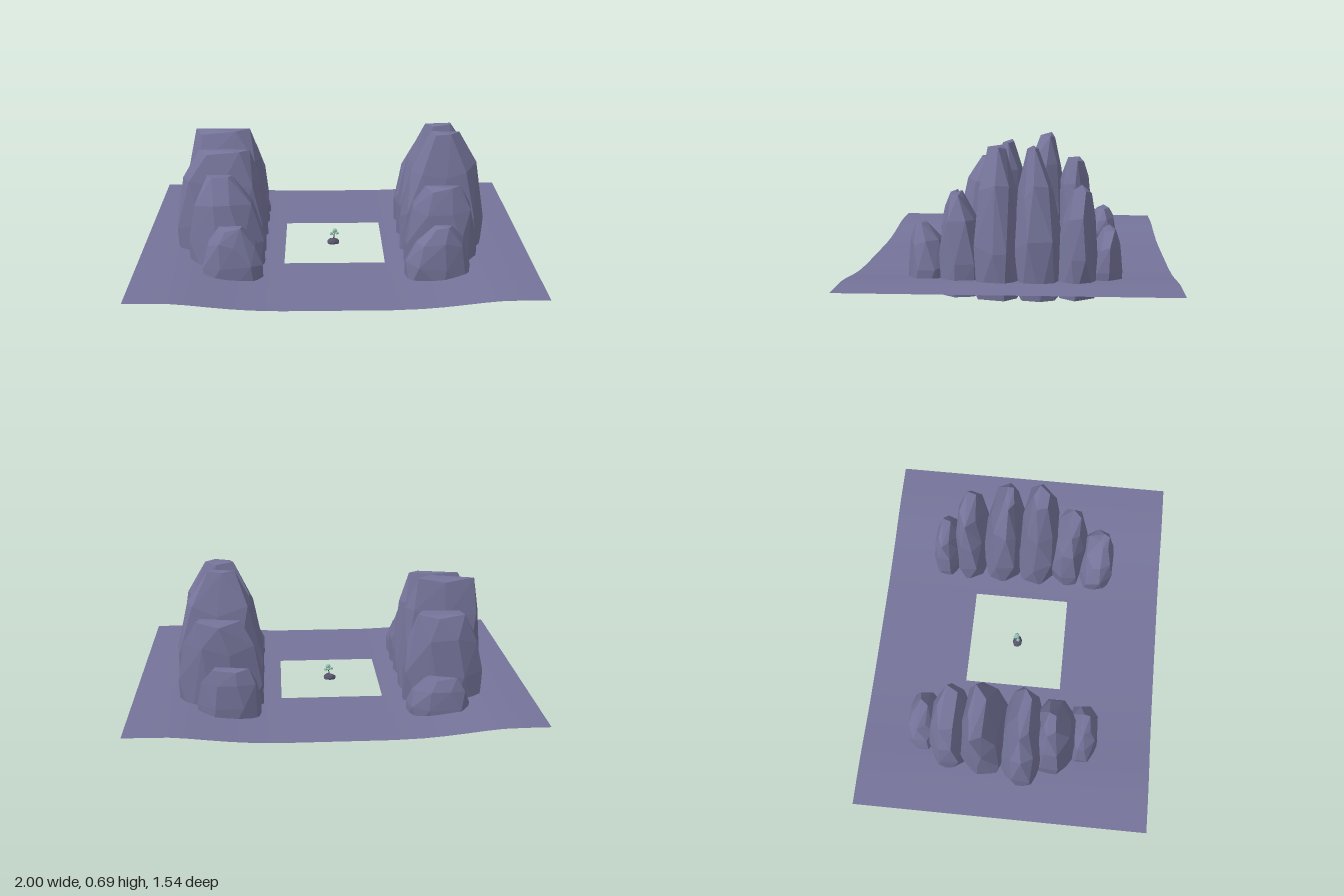
import * as THREE from 'three';
import { ConvexGeometry } from 'three/addons/geometries/ConvexGeometry.js';

const mat = (name, color, extra = {}) => {
  const m = new THREE.MeshStandardMaterial({ color, ...extra });
  m.name = name;
  return m;
};

// Small seeded random source, returns -1..1
function seeded(seed) {
  let s = seed * 7919 + 17;
  return () => {
    s = (s * 16807) % 2147483647;
    return (s / 2147483647) * 2 - 1;
  };
}

// Faceted boulder: rings blend from a base rectangle to a top rectangle
// base and top are [x0, x1, z0, z1]
function boulderGeometry(base, top, h, seed) {
  const rnd = seeded(seed);
  for (let i = 0; i < 5; i++) rnd();
  const pts = [];
  // [height share, blend towards the top, scale]
  const levels = [[0, 0, 0.95], [0.36, 0.04, 1], [0.72, 0.4, 1], [1, 1, 1]];
  levels.forEach(([t, k, scale], level) => {
    const r = base.map((b, i) => THREE.MathUtils.lerp(b, top[i], k));
    const cx = (r[0] + r[1]) / 2, cz = (r[2] + r[3]) / 2;
    const n = level === 3 ? 5 : 8;
    const turn = level * 0.3 + rnd() * 0.2;
    for (let i = 0; i < n; i++) {
      const a = (i / n) * Math.PI * 2 + turn + rnd() * 0.18;
      const c = Math.cos(a), s = Math.sin(a);
      // rounded-rectangle outline
      const q = 1.06 * scale / Math.pow(Math.abs(c) ** 2.8 + Math.abs(s) ** 2.8, 1 / 2.8);
      const x = cx + c * q * (r[1] - r[0]) / 2;
      const z = cz + s * q * (r[3] - r[2]) / 2;
      const drop = level === 3 ? -Math.abs(rnd()) * 0.025 * (i % 2) : level ? rnd() * 0.05 * h : 0;
      pts.push(new THREE.Vector3(
        THREE.MathUtils.clamp(x, base[0], base[1]), t * h + drop,
        THREE.MathUtils.clamp(z, base[2], base[3])));
    }
  });
  return new ConvexGeometry(pts);
}

// Base rectangle, top rectangle, height; listed from back to front
const rightRow = [
  [[-0.67, -0.36, -0.54, -0.36], [-0.60, -0.44, -0.50, -0.43], 0.22],
  [[-0.76, -0.36, -0.40, -0.19], [-0.66, -0.43, -0.35, -0.25], 0.50],
  [[-0.78, -0.36, -0.24, 0.01], [-0.73, -0.45, -0.18, -0.10], 0.64],
  [[-0.82, -0.36, -0.03, 0.20], [-0.69, -0.44, 0.06, 0.12], 0.60],
  [[-0.74, -0.36, 0.13, 0.37], [-0.64, -0.52, 0.19, 0.25], 0.51],
  [[-0.66, -0.36, 0.31, 0.48], [-0.57, -0.46, 0.38, 0.43], 0.31],
];
const leftRow = [
  [[0.36, 0.67, -0.52, -0.36], [0.42, 0.60, -0.49, -0.43], 0.29],
  [[0.35, 0.77, -0.40, -0.21], [0.46, 0.67, -0.37, -0.28], 0.49],
  [[0.35, 0.79, -0.24, -0.01], [0.49, 0.62, -0.12, -0.07], 0.68],
  [[0.35, 0.79, -0.05, 0.18], [0.50, 0.64, 0.03, 0.11], 0.685],
  [[0.36, 0.73, 0.13, 0.34], [0.46, 0.63, 0.23, 0.29], 0.46],
  [[0.35, 0.67, 0.30, 0.50], [0.49, 0.57, 0.41, 0.46], 0.32],
];

// Curved ground sheet with a square opening, height depends on x only
function groundGeometry() {
  const half = [[0.26, 0.04], [0.40, 0.045], [0.50, 0.053], [0.60, 0.064],
    [0.70, 0.076], [0.78, 0.083], [0.88, 0.085], [1, 0.085]];
  const profile = [...half.map(([x, y]) => [-x, y]).reverse(), ...half];
  const zs = [-0.77, -0.26, 0.26, 0.77];
  const pos = [], idx = [];
  for (const [x, y] of profile) for (const z of zs) pos.push(x, y, z);
  const n = zs.length;
  for (let i = 0; i < profile.length - 1; i++) {
    for (let j = 0; j < n - 1; j++) {
      if (i === half.length - 1 && j === 1) continue;
      const a = i * n + j, b = a + n;
      idx.push(a, a + 1, b + 1, a, b + 1, b);
    }
  }
  const g = new THREE.BufferGeometry();
  g.setAttribute('position', new THREE.Float32BufferAttribute(pos, 3));
  g.setIndex(idx);
  g.computeVertexNormals();
  return g;
}

export function createModel() {
  const model = new THREE.Group();
  model.name = 'rockyPass';
  const stone = mat('slate stone', 0x75749a, { flatShading: true });
  const soil = mat('slate ground', 0x75749a, { side: THREE.DoubleSide });
  const darkStone = mat('dark stone', 0x55546c, { flatShading: true });
  const bark = mat('bark', 0x5c4a4a, { flatShading: true });
  const leaf = mat('pale green leaves', 0x8fc0ae, { flatShading: true });

  const add = (parent, name, geometry, material, x = 0, y = 0, z = 0) => {
    const mesh = new THREE.Mesh(geometry, material);
    mesh.name = name;
    mesh.position.set(x, y, z);
    parent.add(mesh);
    return mesh;
  };

  add(model, 'ground', groundGeometry(), soil);

  // Two rows of boulders
  [['leftCliff', leftRow], ['rightCliff', rightRow]].forEach(([name, row], side) => {
    const cliff = new THREE.Group();
    cliff.name = name;
    row.forEach(([base, top, h], i) =>
      add(cliff, 'boulder', boulderGeometry(base, top, h, 11 + side * 40 + i * 5), stone));
    model.add(cliff);
  });

  // Tiny tree on its own stone in the opening
  const tree = new THREE.Group();
  tree.name = 'tinyTree';
  add(tree, 'treeStone', boulderGeometry([-0.035, 0.028, -0.024, 0.024],
    [-0.012, 0.014, -0.01, 0.01], 0.026, 5), darkStone, 0, 0.036, 0);
  const trunk = add(tree, 'trunk', new THREE.CylinderGeometry(0.002, 0.004, 0.04, 6), bark, 0.001, 0.075, 0);
  trunk.rotation.z = -0.1;
  for (const [x, y, z, r] of [[0.005, 0.107, -0.002, 0.015], [-0.012, 0.092, 0.004, 0.011],
    [0.018, 0.091, -0.006, 0.011], [0.002, 0.096, -0.014, 0.01]]) {
    add(tree, 'foliage', new THREE.IcosahedronGeometry(r, 0), leaf, x, y, z).scale.y = 0.8;
  }
  model.add(tree);
  return model;
}
